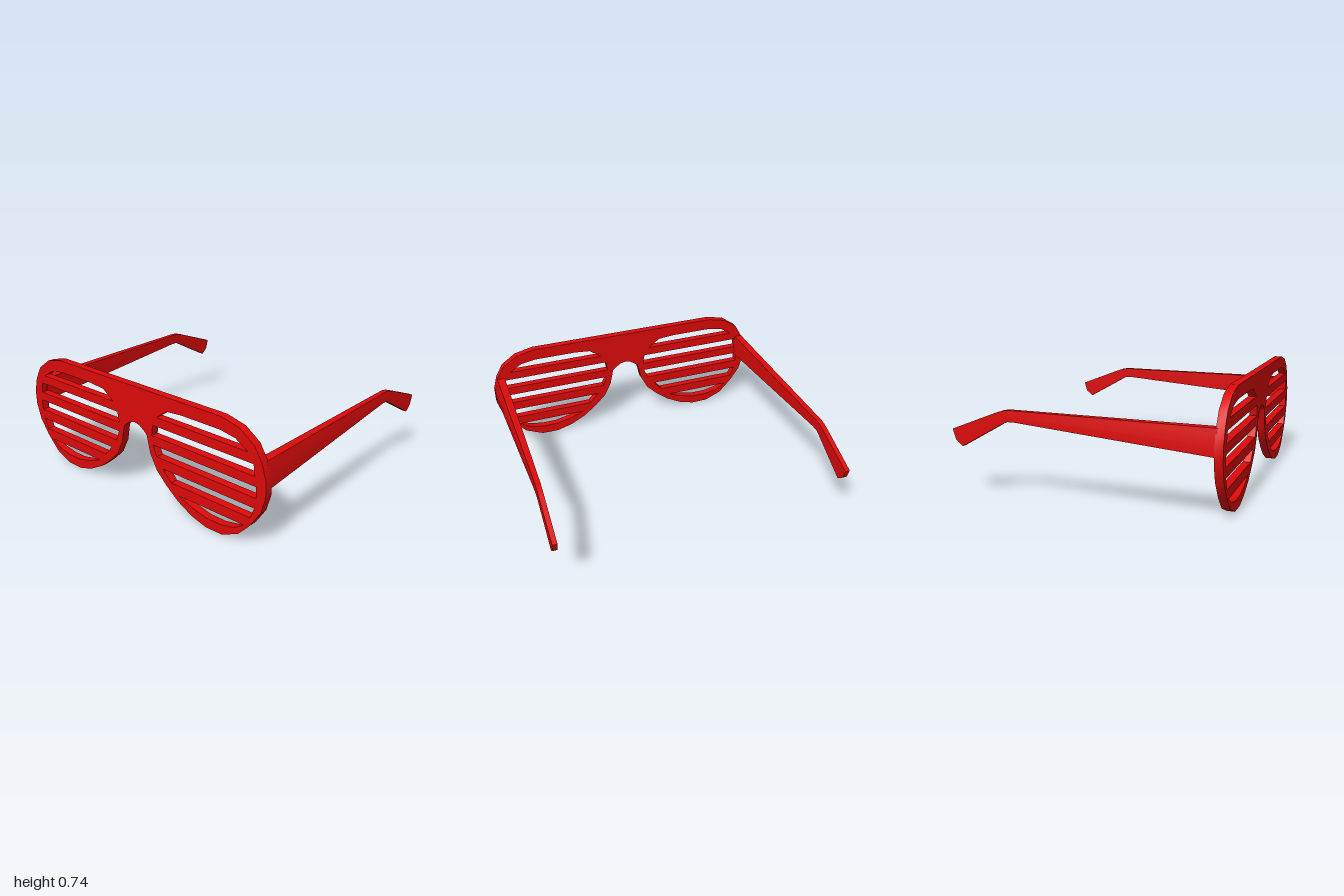
import * as THREE from 'three';
import { toCreasedNormals } from 'three/addons/utils/BufferGeometryUtils.js';

const material = new THREE.MeshStandardMaterial({ color: 0xdc0a0a });
const BACK = 0.8, THICK = 0.05, CREASE = 0.6;
const toVectors = (pts) => pts.map(([x, y]) => new THREE.Vector2(x, y));
const mirrored = (pts) => pts.map(([x, y]) => [-x, y]);

// Half of the outline, from the top corner round to the nose arch
const outline = [
  [0.69, 0.74], [0.82, 0.71], [0.92, 0.64], [0.972, 0.55], [1, 0.455], [1, 0.355],
  [0.968, 0.25], [0.9, 0.15], [0.81, 0.055], [0.69, 0.002], [0.57, 0], [0.46, 0.03],
  [0.345, 0.09], [0.25, 0.165], [0.175, 0.24], [0.125, 0.335], [0.1, 0.45], [0.085, 0.465], [0.042, 0.495],
];
const noseTop = [0, 0.505];

// Lens opening
const lens = [
  [0.68, 0.66], [0.79, 0.642], [0.875, 0.59], [0.915, 0.53], [0.925, 0.46], [0.935, 0.4],
  [0.935, 0.33], [0.925, 0.265], [0.895, 0.195], [0.85, 0.13], [0.78, 0.085], [0.68, 0.065],
  [0.57, 0.065], [0.46, 0.09], [0.36, 0.13], [0.295, 0.195], [0.23, 0.265], [0.18, 0.33],
  [0.15, 0.4], [0.143, 0.46], [0.155, 0.53], [0.19, 0.59], [0.275, 0.65], [0.39, 0.66],
];

// Open bands between the slats, as [bottom, top]
const bands = [[0.59, 1], [0.46, 0.53], [0.33, 0.4], [0.195, 0.265], [-1, 0.13]];

// Part of the lens opening inside one band
const bandHole = ([lo, hi]) => lens.filter(([, y]) => y >= lo && y <= hi);

function shutterFront() {
  // Counter-clockwise outline, so the hole walls face into the openings
  const shape = new THREE.Shape(toVectors([...mirrored(outline), noseTop, ...[...outline].reverse()]));
  for (const hole of bands.map(bandHole)) {
    shape.holes.push(new THREE.Path(toVectors(hole)), new THREE.Path(toVectors(mirrored(hole))));
  }
  const geometry = new THREE.ExtrudeGeometry(shape, { depth: THICK, bevelEnabled: false });
  geometry.translate(0, 0, BACK);
  const mesh = new THREE.Mesh(toCreasedNormals(geometry, CREASE), material);
  mesh.name = 'shutterFrame';
  return mesh;
}

// Temple sections: top [z, y], middle [z, y], bottom [z, y], x of inner side, outer top, outer side
const sections = [
  [[0.81, 0.55], [0.81, 0.455], [0.81, 0.394], 0.918, 0.973, 0.998],
  [[-0.466, 0.555], [-0.45, 0.52], [-0.42, 0.486], 0.933, 0.967, 0.971],
  [[-0.505, 0.548], [-0.485, 0.515], [-0.466, 0.485], 0.934, 0.967, 0.97],
  [[-0.557, 0.53], [-0.53, 0.5], [-0.5, 0.47], 0.934, 0.967, 0.969],
  [[-0.85, 0.415], [-0.83, 0.35], [-0.783, 0.31], 0.936, 0.967, 0.967],
];

function temple(side) {
  const position = [], index = [], n = 6;
  for (const [t, m, b, inner, outerTop, outer] of sections) {
    const ring = [[inner, t], [outerTop, t], [outer, m], [outer, b], [inner, b], [inner, m]];
    for (const [x, [z, y]] of ring) position.push(side * x, y, z);
  }
  const face = (a, b, c) => (side > 0 ? index.push(a, b, c) : index.push(a, c, b));
  for (let s = 0; s < sections.length - 1; s++) {
    for (let i = 0; i < n; i++) {
      const a = s * n + i, b = s * n + ((i + 1) % n);
      face(a, b, b + n);
      face(a, b + n, a + n);
    }
  }
  // End caps
  const last = (sections.length - 1) * n;
  for (const [i, j, k] of [[0, 1, 2], [0, 2, 5], [5, 2, 3], [5, 3, 4]]) {
    face(i, k, j);
    face(last + i, last + j, last + k);
  }
  const geometry = new THREE.BufferGeometry();
  geometry.setAttribute('position', new THREE.Float32BufferAttribute(position, 3));
  geometry.setIndex(index);
  const mesh = new THREE.Mesh(toCreasedNormals(geometry, CREASE), material);
  mesh.name = side > 0 ? 'leftTemple' : 'rightTemple';
  return mesh;
}

export function createModel() {
  const group = new THREE.Group();
  group.name = 'shutterGlasses';
  group.add(shutterFront(), temple(1), temple(-1));
  return group;
}
